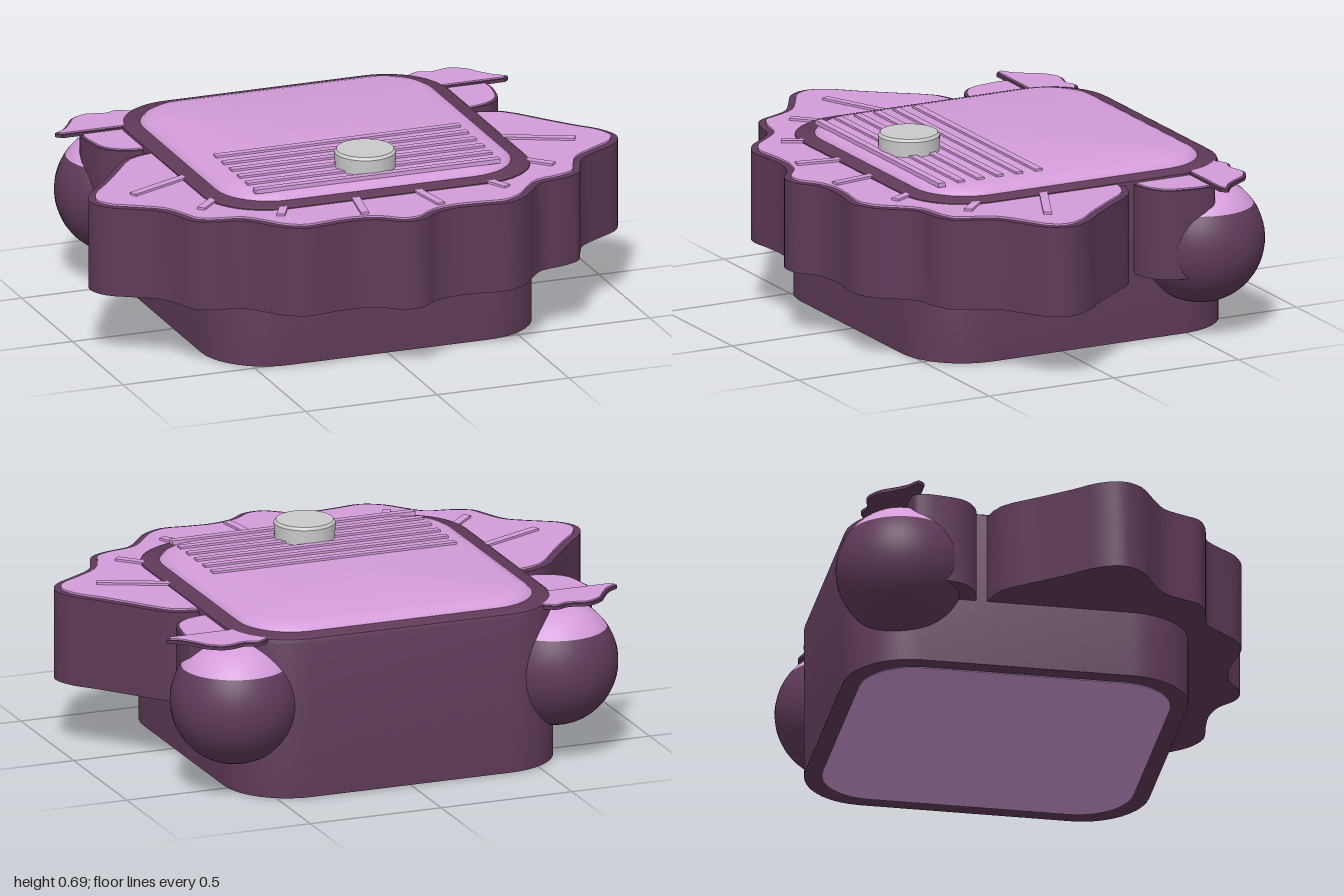
import * as THREE from 'three';
import { toCreasedNormals } from 'three/addons/utils/BufferGeometryUtils.js';

const plum = new THREE.MeshStandardMaterial({ name: 'plum', color: 0x5f3a58 });
const orchid = new THREE.MeshStandardMaterial({ name: 'orchid', color: 0xd49cda });
const grey = new THREE.MeshStandardMaterial({ name: 'lightGrey', color: 0xcacaca });

const V = (x, z) => new THREE.Vector2(x, z);

function add(parent, name, geometry, material) {
  const mesh = new THREE.Mesh(geometry, material);
  mesh.name = name;
  parent.add(mesh);
  return mesh;
}

// Rounded rectangle in plan, centred on z = -0.1
function roundedRing(hx, hz, r, steps = 10) {
  const pts = [];
  for (let c = 0; c < 4; c++) {
    const sx = c === 0 || c === 3 ? 1 : -1, sz = c < 2 ? 1 : -1;
    for (let i = 0; i <= steps; i++) {
      const a = (c + i / steps) * Math.PI / 2;
      pts.push(V(sx * (hx - r) + r * Math.cos(a), sz * (hz - r) + r * Math.sin(a) - 0.1));
    }
  }
  return pts;
}

// Capped loft through rounded rectangles; levels are [inset, y] from bottom to top
function loftRounded(hx, hz, r, levels) {
  const pos = [], idx = [];
  const n = 44;
  for (const [inset, y] of levels)
    for (const p of roundedRing(hx - inset, hz - inset, r - inset)) pos.push(p.x, y, p.y);
  for (let l = 0; l < levels.length - 1; l++)
    for (let i = 0; i < n; i++) {
      const a = l * n + i, b = l * n + (i + 1) % n;
      idx.push(a, a + n, b, b, a + n, b + n);
    }
  const low = pos.length / 3, high = low + 1, last = (levels.length - 1) * n;
  pos.push(0, levels[0][1], -0.1, 0, levels[levels.length - 1][1], -0.1);
  for (let i = 0; i < n; i++) {
    const j = (i + 1) % n;
    idx.push(low, i, j, high, last + j, last + i);
  }
  const g = new THREE.BufferGeometry();
  g.setAttribute('position', new THREE.Float32BufferAttribute(pos, 3));
  g.setIndex(idx);
  return toCreasedNormals(g, 0.6);
}

// Plan outline extruded between two heights
function slab(points, y0, y1) {
  const g = new THREE.ExtrudeGeometry(new THREE.Shape(points), { depth: y1 - y0, bevelEnabled: false });
  g.rotateX(Math.PI / 2).translate(0, y1, 0);
  return toCreasedNormals(g, 0.5);
}

// Moves an outline inward by d
function insetOutline(points, d) {
  const sign = Math.sign(THREE.ShapeUtils.area(points));
  return points.map((p, i) => {
    const a = points[(i + points.length - 1) % points.length], b = points[(i + 1) % points.length];
    const t = b.clone().sub(a).normalize();
    return V(p.x - t.y * d * sign, p.y + t.x * d * sign);
  });
}

const smooth = (pairs, n) => new THREE.SplineCurve(pairs.map(([x, z]) => V(x, z))).getPoints(n);

export function createModel() {
  const model = new THREE.Group();
  model.name = 'model';

  // Central body, its raised lid and the inset base
  add(model, 'body', loftRounded(0.62, 0.62, 0.24,
    [[0, 0.003], [0, 0.575], [0.006, 0.59], [0.02, 0.598]]), plum);
  add(model, 'lid', loftRounded(0.555, 0.555, 0.2,
    [[0, 0.59], [0.002, 0.6], [0.015, 0.613], [0.035, 0.623], [0.065, 0.63]]), orchid);
  add(model, 'basePlate', loftRounded(0.56, 0.56, 0.2, [[0, 0], [0, 0.004]]), orchid);

  // Scalloped frill around the front and sides
  const half = [[0.6, -0.25], [0.72, -0.21], [0.82, -0.09], [0.9, 0.01], [0.97, 0.09], [1, 0.175],
    [0.965, 0.25], [0.88, 0.305], [0.8, 0.36], [0.763, 0.43], [0.73, 0.5], [0.66, 0.535],
    [0.57, 0.555], [0.515, 0.61], [0.46, 0.675], [0.38, 0.715], [0.28, 0.705], [0.19, 0.7],
    [0.11, 0.72], [0.05, 0.765], [0, 0.777]];
  const mirrored = half.slice(0, -1).reverse().map(([x, z]) => [-x, z]);
  const frill = smooth([...half, ...mirrored], 120);
  add(model, 'frill', slab(frill, 0.25, 0.58), plum);
  add(model, 'frillTop', slab(insetOutline(frill, 0.025), 0.579, 0.587), orchid);

  // Raised ribs on the frill: start x, z and end x, z
  const ribs = [[0.6, 0.07, 0.84, 0.18], [0.57, 0.31, 0.67, 0.41],
    [0.38, 0.48, 0.43, 0.575], [0.117, 0.5, 0.145, 0.665]];
  for (const s of [1, -1])
    for (const [x0, z0, x1, z1] of ribs) {
      const dx = s * (x1 - x0), dz = z1 - z0;
      const rib = add(model, 'frillRib', new THREE.BoxGeometry(Math.hypot(dx, dz), 0.012, 0.03), orchid);
      rib.position.set(s * (x0 + x1) / 2, 0.589, (z0 + z1) / 2);
      rib.rotation.y = -Math.atan2(dz, dx);
    }

  // Parallel bars across the front half of the lid
  for (let i = 0; i < 6; i++) {
    const bar = add(model, 'lidBar', new THREE.BoxGeometry(0.93, 0.016, 0.028), orchid);
    bar.position.set(0, 0.63, 0.015 + i * 0.078);
  }

  // Round button with a softened edge
  const profile = [[0, 0.625], [0.108, 0.625], [0.11, 0.685], [0.102, 0.695], [0, 0.695]];
  const button = toCreasedNormals(new THREE.LatheGeometry(profile.map(([r, y]) => V(r, y)), 40), 0.5);
  add(model, 'button', button, grey).position.z = 0.29;

  // Rear corner pieces: two-tone ball, side lobe and thin leaf
  const lobe = [[0.55, -0.29], [0.63, -0.285], [0.7, -0.305], [0.75, -0.35],
    [0.77, -0.42], [0.775, -0.5], [0.74, -0.54], [0.55, -0.54]];
  const leaf = [[0.84, -0.51], [0.86, -0.535], [0.82, -0.565], [0.785, -0.61], [0.75, -0.66],
    [0.69, -0.69], [0.62, -0.675], [0.57, -0.69], [0.52, -0.66]];
  const leafOutline = [V(0.5, -0.51), ...smooth(leaf, 40)];
  const split = Math.acos(0.13 / 0.23);
  for (const s of [1, -1]) {
    const side = new THREE.Group();
    side.name = s > 0 ? 'leftCorner' : 'rightCorner';
    model.add(side);
    const flip = (pts) => pts.map((p) => V(p.x * s, p.y));

    const ball = add(side, 'ball',
      new THREE.SphereGeometry(0.23, 40, 24, 0, Math.PI * 2, split, Math.PI - split), plum);
    const cap = add(side, 'ballCap',
      new THREE.SphereGeometry(0.23, 40, 12, 0, Math.PI * 2, 0, split), orchid);
    for (const m of [ball, cap]) m.position.set(s * 0.61, 0.345, -0.555);

    const lobePts = flip(smooth(lobe, 32));
    add(side, 'lobe', slab(lobePts, 0.25, 0.578), plum);
    add(side, 'lobeTop', slab(insetOutline(lobePts, 0.01), 0.577, 0.583), orchid);

    const leafPts = flip(leafOutline);
    add(side, 'leaf', slab(leafPts, 0.577, 0.589), plum);
    add(side, 'leafTop', slab(insetOutline(leafPts, 0.009), 0.588, 0.594), orchid);
  }
  return model;
}
